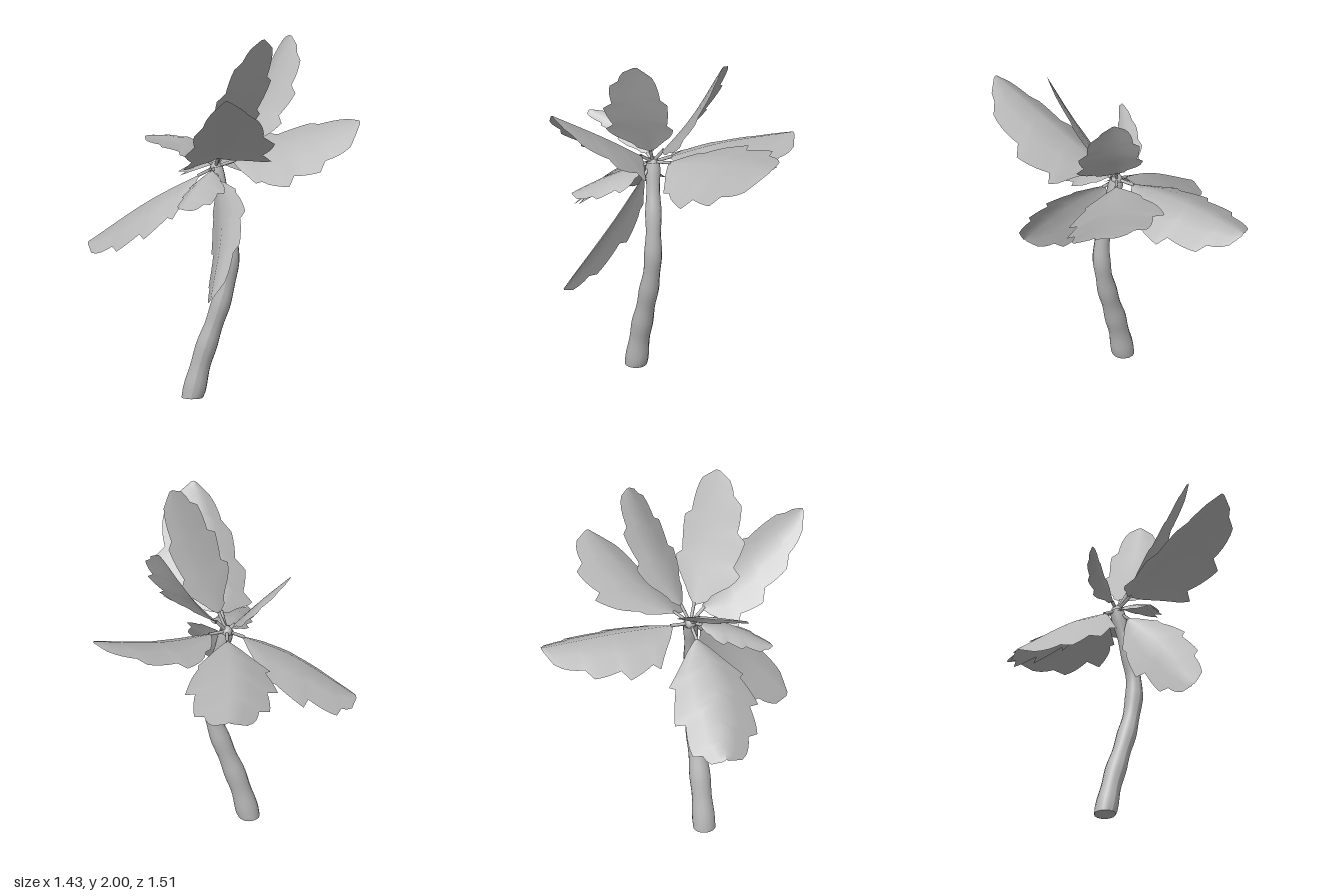
import * as THREE from 'three';

const V = (p) => new THREE.Vector3(...p);
const CROWN = [-0.02, 1.25, 0.07];
const ROWS = 20;

// Half-width of a blade: narrow at the stalk, blunt at the tip, torn back at every few rows
function halfWidth(row, period, shift) {
  const s = row / ROWS;
  const full = Math.sin(Math.PI * Math.min(s, 0.999) ** 0.75) ** 0.45 * Math.min(1, 0.35 + 3 * s);
  const tooth = ((row + shift) % period) / (period - 1);
  return full * (0.82 + 0.22 * tooth);
}

// Blade from cross-sections along the midrib, each half reaching out along its own side vector
function bladeGeometry(rib, sideA, sideB, shift) {
  const pos = [], index = [];
  for (let row = 0; row <= ROWS; row++) {
    const mid = rib.getPoint(0.12 + 0.88 * row / ROWS);
    const wa = halfWidth(row, 5, shift), wb = halfWidth(row, 6, shift + 2);
    for (let c = -2; c <= 2; c++) {
      const w = Math.abs(c) / 2 * (c < 0 ? wa : wb);
      const p = mid.clone().addScaledVector(c < 0 ? sideA : sideB, w);
      if (Math.abs(c) === 1) p.y += 0.02 * w; // gentle arch of each half
      pos.push(p.x, p.y, p.z);
      if (row > 0 && c < 2) {
        const b = row * 5 + c + 2, a = b - 5;
        index.push(a, a + 1, b, a + 1, b + 1, b);
      }
    }
  }
  const g = new THREE.BufferGeometry();
  g.setAttribute('position', new THREE.Float32BufferAttribute(pos, 3));
  g.setIndex(index);
  g.computeVertexNormals();
  return g;
}

// Name, midrib middle, tip, and the side vectors of both halves
const LEAVES = [
  ['backLeaf', [-0.02, 1.27, -0.33], [0, 1.25, -0.76], [-0.25, -0.13, 0], [0.23, -0.13, 0]],
  ['leftLeaf', [0.33, 1.34, -0.14], [0.71, 1.45, -0.27], [0.07, -0.17, 0.23], [-0.1, 0.01, -0.25]],
  ['uprightBackLeaf', [0.19, 1.58, -0.05], [0.35, 1.93, -0.16], [0.17, -0.03, 0.12], [-0.05, 0.03, -0.15]],
  ['uprightFrontLeaf', [0.13, 1.61, 0.2], [0.27, 2, 0.32], [-0.13, -0.02, 0.17], [0.12, 0.02, -0.1]],
  ['frontLeaf', [0.07, 1.5, 0.39], [0.13, 1.75, 0.75], [-0.21, -0.15, 0.01], [0.27, -0.09, 0]],
  ['rightLeaf', [-0.36, 1.07, 0.09], [-0.71, 0.82, 0.05], [0, -0.16, 0.24], [-0.02, -0.15, -0.23]],
  ['hangingLeaf', [0.05, 1, 0.33], [0.03, 0.64, 0.63], [0.13, 0.06, 0.07], [-0.07, -0.18, -0.11]],
  ['smallFrontLeaf', [-0.07, 1.2, 0.28], [-0.15, 1.1, 0.49], [-0.08, -0.05, -0.03], [0.12, -0.05, 0.04]],
  ['smallRightLeaf', [-0.18, 1.38, 0.12], [-0.37, 1.45, 0.27], [0.04, 0, -0.13], [-0.04, -0.03, 0.08]],
];

// Curved, tapering trunk with slight growth bulges
function trunkGeometry() {
  const curve = new THREE.CatmullRomCurve3([
    [-0.14, 0, 0.11], [-0.09, 0.2, 0.11], [0.05, 0.65, 0.11], [0.065, 0.85, 0.11], CROWN].map(V));
  const rings = 32, sides = 14;
  const g = new THREE.TubeGeometry(curve, rings, 1, sides);
  const pos = g.attributes.position, p = new THREE.Vector3();
  for (let i = 0; i < pos.count; i++) {
    const t = Math.floor(i / (sides + 1)) / rings;
    const c = curve.getPointAt(t);
    const r = 0.06 - 0.024 * t + 0.003 * Math.sin(t * 34);
    p.fromBufferAttribute(pos, i).sub(c).multiplyScalar(r).add(c);
    if (t === 0) p.y = 0;
    pos.setXYZ(i, p.x, p.y, p.z);
  }
  g.computeVertexNormals();
  return g;
}

export function createModel() {
  const model = new THREE.Group();
  model.name = 'broadLeafPalm';
  const grey = new THREE.MeshStandardMaterial({ color: 0xb8b8b8, side: THREE.DoubleSide });
  grey.name = 'plain grey';
  const add = (parent, name, geometry) => {
    const mesh = new THREE.Mesh(geometry, grey);
    mesh.name = name;
    parent.add(mesh);
    return mesh;
  };

  add(model, 'trunk', trunkGeometry());
  const base = add(model, 'trunkBase', new THREE.CircleGeometry(0.058, 14));
  base.rotation.x = Math.PI / 2;
  base.position.set(-0.14, 0, 0.11);
  add(model, 'crownBud', new THREE.SphereGeometry(0.03, 12, 8)).position.set(...CROWN);

  // Leaves, each with its short stalk
  LEAVES.forEach(([name, middle, tip, sideA, sideB], i) => {
    const group = new THREE.Group();
    group.name = name;
    const rib = new THREE.CatmullRomCurve3([CROWN, middle, tip].map(V));
    add(group, 'blade', bladeGeometry(rib, V(sideA), V(sideB), i));
    const stalk = new THREE.CatmullRomCurve3([0, 1, 2].map((k) => rib.getPoint(k * 0.07)));
    add(group, 'stalk', new THREE.TubeGeometry(stalk, 4, 0.009, 6));
    model.add(group);
  });
  return model;
}
